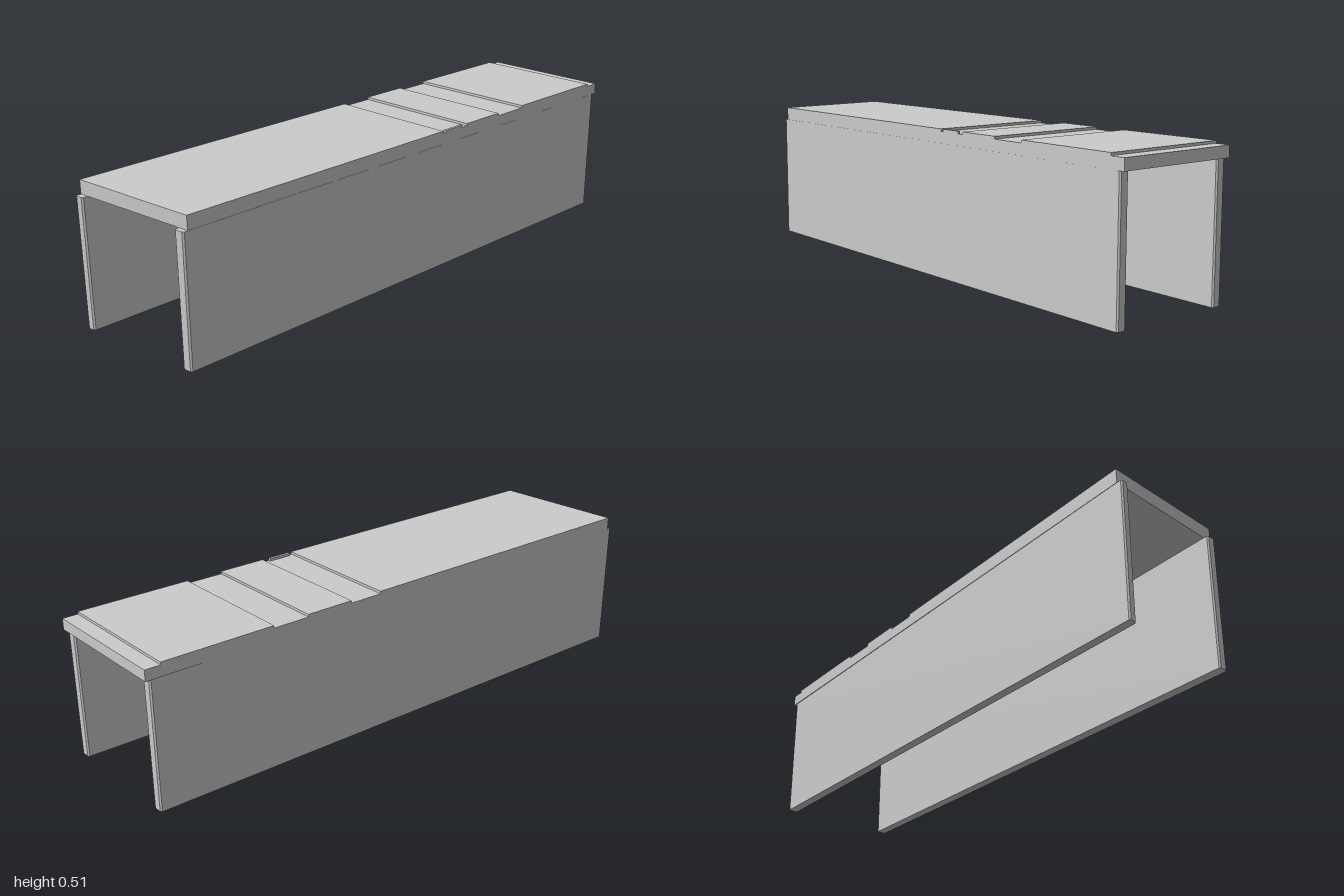
import * as THREE from 'three';

const material = new THREE.MeshStandardMaterial({ color: 0xcccccc, flatShading: true });

// Upright prism over a plan outline of [x, z] points
function prism(name, outline, y0, y1) {
  const shape = new THREE.Shape(outline.map(([x, z]) => new THREE.Vector2(x, -z)));
  const geometry = new THREE.ExtrudeGeometry(shape, { depth: y1 - y0, bevelEnabled: false });
  geometry.rotateX(-Math.PI / 2).translate(0, y0, 0);
  const mesh = new THREE.Mesh(geometry, material);
  mesh.name = name;
  return mesh;
}

// Cut every corner of an outline by a fixed length
function chamfer(points, cut) {
  const v = points.map(([x, z]) => new THREE.Vector2(x, z));
  const n = v.length;
  return v.flatMap((p, i) => [v[(i + n - 1) % n], v[(i + 1) % n]].map((q) => {
    const c = q.clone().sub(p).setLength(cut).add(p);
    return [c.x, c.y];
  }));
}

// Slanted long edges of the roof in plan
const edgeX = (a, b, z) => a[0] + (b[0] - a[0]) * (z - a[1]) / (b[1] - a[1]);
const rightFront = [-0.307, 0.98], rightBack = [-0.165, -1];
const leftFront = [0.157, 0.943], leftBack = [0.305, -1];
const rightAt = (z) => [edgeX(rightFront, rightBack, z), z];
const leftAt = (z) => [edgeX(leftFront, leftBack, z), z];

export function createModel() {
  const group = new THREE.Group();
  group.name = 'skewedUnderpass';
  const bottom = 0.46, recess = 0.499, top = 0.508;

  // Side walls
  group.add(prism('rightWall', chamfer(
    [[-0.307, 1], [-0.277, 0.997], [-0.127, -0.985], [-0.163, -0.985]], 0.005), 0, bottom));
  group.add(prism('leftWall', chamfer(
    [[0.121, 0.963], [0.157, 0.96], [0.304, -0.985], [0.268, -0.985]], 0.005), 0, bottom));

  // Roof slab
  group.add(prism('roofSlab', [rightFront, leftFront, leftBack, rightBack], bottom, recess));

  // Raised roof panels, leaving shallow recesses between them
  const panels = [[0.98, 0.943, -0.13], [-0.25, -0.25, -0.42], [-0.55, -0.55, -0.947]];
  for (const [zRight, zLeft, zBack] of panels) {
    group.add(prism('roofPanel',
      [rightAt(zRight), leftAt(zLeft), leftAt(zBack), rightAt(zBack)], recess, top));
  }

  // Small kerb along the edge of the first recess
  const inset = ([x, z]) => [x - 0.01, z];
  group.add(prism('edgeKerb',
    [inset(leftAt(-0.142)), leftAt(-0.142), leftAt(-0.225), inset(leftAt(-0.225))], recess, top));

  return group;
}
